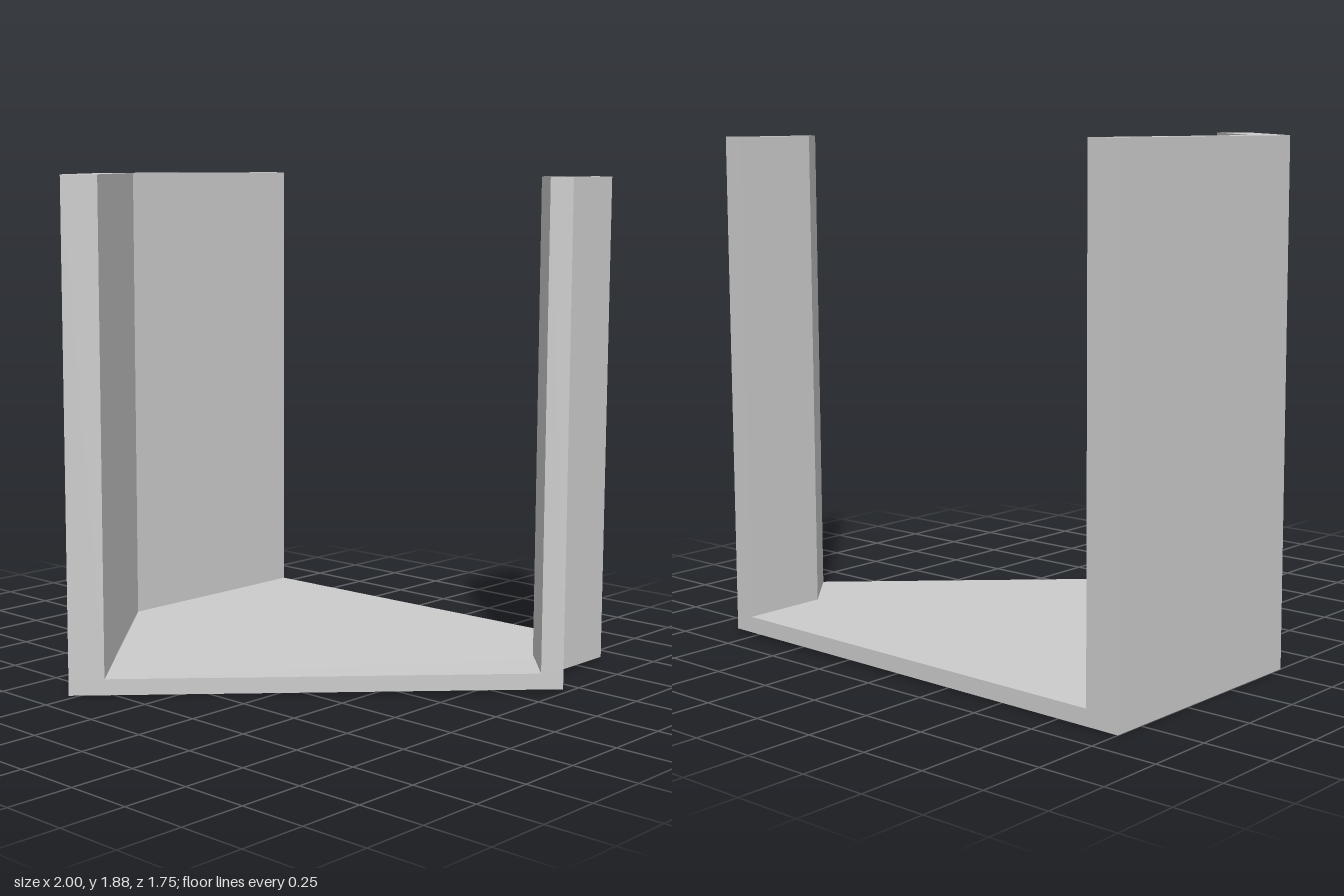
import * as THREE from 'three';

const FLOOR = 0.06;

// The base rises very slightly towards its left corner.
const rise = (x) => 0.012 * Math.max(0, x + 0.28);

// Upright prism over a plan outline given as [x, z] corners.
function prism(name, plan, bottom, top, tiltTop) {
  const shape = new THREE.Shape(plan.map(([x, z]) => new THREE.Vector2(x, -z)));
  const geometry = new THREE.ExtrudeGeometry(shape, { depth: top - bottom, bevelEnabled: false });
  geometry.rotateX(-Math.PI / 2).translate(0, bottom, 0);

  const p = geometry.attributes.position;
  const middle = (bottom + top) / 2;
  for (let i = 0; i < p.count; i++) {
    if (p.getY(i) < middle || tiltTop) p.setY(i, p.getY(i) + rise(p.getX(i)));
  }
  geometry.computeVertexNormals();

  const material = new THREE.MeshStandardMaterial({ color: 0xcccccc, flatShading: true });
  const mesh = new THREE.Mesh(geometry, material);
  mesh.name = name;
  return mesh;
}

export function createModel() {
  const group = new THREE.Group();
  group.name = 'openCornerTray';

  // Outer and inner edges of the two bent walls, from back to front
  const rightOuter = [[-1, -0.87], [-1, 0.06], [-0.28, 0.87]];
  const rightInner = [[-0.87, -0.87], [-0.87, 0.01], [-0.185, 0.78]];
  const leftOuter = [[0.84, -0.875], [0.84, -0.57], [1, -0.4]];
  const leftInner = [[0.76, -0.875], [0.76, -0.54], [0.94, -0.345]];

  // Floor slab under both walls
  group.add(prism('floor', [...rightOuter, ...[...leftOuter].reverse()], 0, FLOOR, true));

  // Tall bent wall on the right, narrow bent wall on the left
  group.add(prism('rightWall', [...rightOuter, ...[...rightInner].reverse()], FLOOR, 1.88, false));
  group.add(prism('leftWall', [...leftOuter, ...[...leftInner].reverse()], FLOOR, 1.87, false));

  return group;
}
